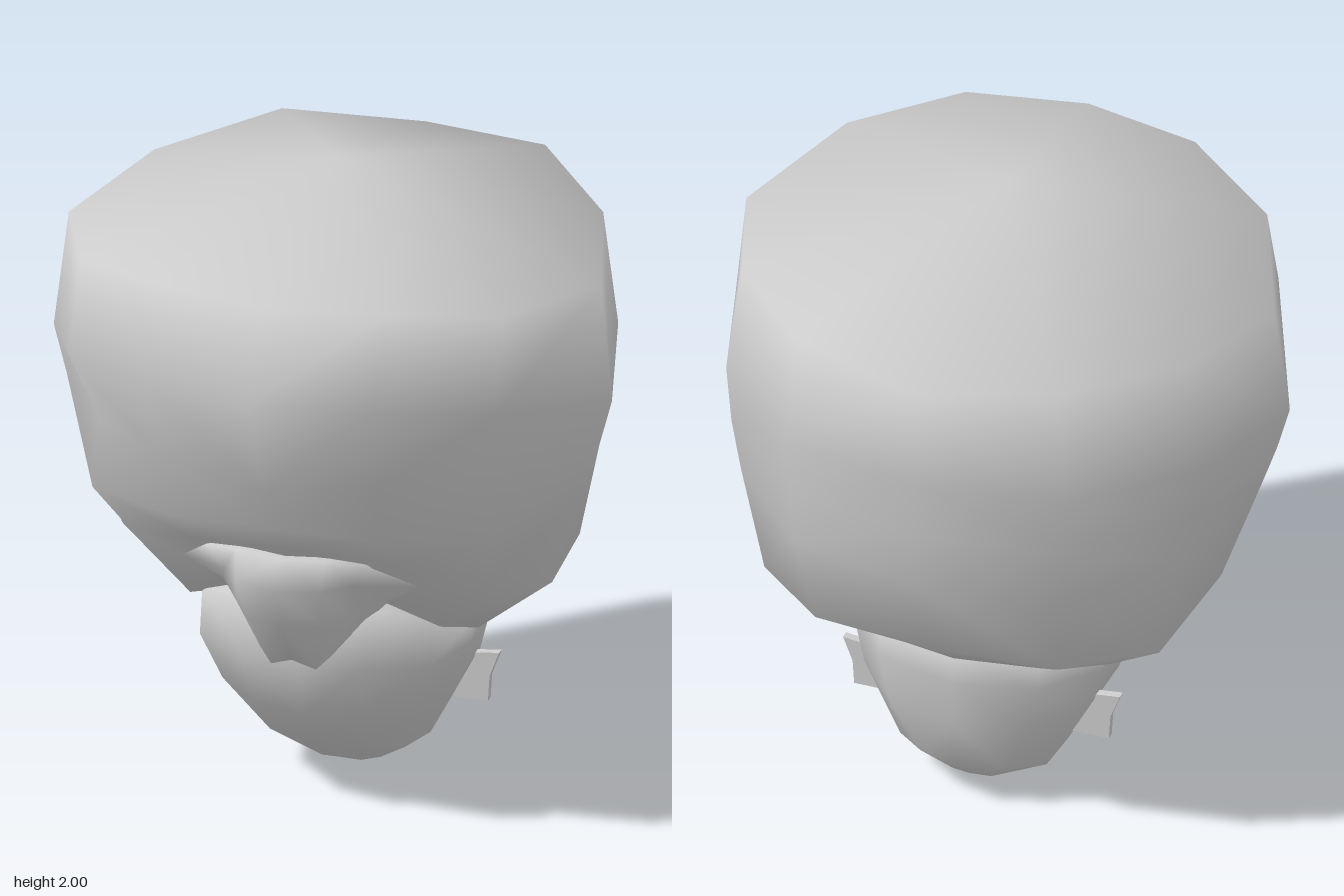
import * as THREE from 'three';

const grey = new THREE.MeshStandardMaterial({ color: 0xcccccc, side: THREE.DoubleSide });

// Half cross-section (front to back along +x) completed by its mirror image
function closeRing(half) {
  const mirrored = half.slice(1, -1).reverse().map(([x, y, z]) => [-x, y, z]);
  return [...half, ...mirrored];
}

// Strip from the centre line outwards, completed to the other side
function spreadRow(half) {
  return [...half.slice(1).reverse().map(([x, y, z]) => [-x, y, z]), ...half];
}

// Smooth skin over rows listed from top to bottom, with optional end points
function skin(name, rows, closed, top, bottom) {
  const n = rows[0].length;
  const points = rows.flat();
  const index = [];
  const across = closed ? n : n - 1;
  for (let i = 0; i < rows.length - 1; i++) {
    for (let j = 0; j < across; j++) {
      const k = (j + 1) % n;
      const a = i * n + j, b = i * n + k, c = a + n, d = b + n;
      // Diagonals mirror across the centre line
      if (j < across / 2) index.push(a, c, b, b, c, d);
      else index.push(a, c, d, a, d, b);
    }
  }
  if (top) {
    const t = points.push(top) - 1;
    for (let j = 0; j < n; j++) index.push(t, j, (j + 1) % n);
  }
  if (bottom) {
    const t = points.push(bottom) - 1;
    const s = (rows.length - 1) * n;
    for (let j = 0; j < n; j++) index.push(t, s + (j + 1) % n, s + j);
  }
  const geometry = new THREE.BufferGeometry();
  geometry.setAttribute('position', new THREE.Float32BufferAttribute(points.flat(), 3));
  geometry.setIndex(index);
  geometry.computeVertexNormals();
  const mesh = new THREE.Mesh(geometry, grey);
  mesh.name = name;
  return mesh;
}

// Broad twelve-sided cranium with shallow eye hollows
function cranium() {
  const halves = [
    [[0, 1.8, 0.69], [0.36, 1.8, 0.62], [0.66, 1.75, 0.42], [0.83, 1.71, 0.02], [0.7, 1.76, -0.38], [0.41, 1.8, -0.7], [0, 1.77, -0.81]],
    [[0, 1.54, 0.81], [0.36, 1.53, 0.73], [0.67, 1.47, 0.49], [0.87, 1.35, 0.04], [0.74, 1.4, -0.4], [0.44, 1.42, -0.71], [0, 1.45, -0.81]],
    [[0, 1.21, 0.69], [0.34, 1.25, 0.63], [0.59, 1.25, 0.44], [0.83, 1.2, 0.04], [0.72, 1.22, -0.41], [0.43, 1.23, -0.7], [0, 1.25, -0.8]],
    [[0, 1.07, 0.64], [0.32, 1.05, 0.6], [0.62, 1.02, 0.42], [0.78, 1.05, 0.04], [0.69, 1.05, -0.41], [0.42, 1.05, -0.69], [0, 1.05, -0.78]],
    [[0, 0.96, 0.53], [0.3, 0.92, 0.46], [0.56, 0.82, 0.25], [0.67, 0.72, 0.0], [0.62, 0.7, -0.4], [0.38, 0.73, -0.62], [0, 0.76, -0.69]],
    [[0, 0.8, 0.36], [0.22, 0.73, 0.3], [0.39, 0.62, 0.2], [0.44, 0.54, 0], [0.41, 0.5, -0.25], [0.25, 0.57, -0.43], [0, 0.57, -0.47]],
  ];
  return skin('cranium', halves.map(closeRing), true, [0, 2, 0], [0, 0.62, -0.05]);
}

// Rounded jaw tapering to the chin
function jaw() {
  const halves = [
    [[0, 0.7, 0.33], [0.2, 0.7, 0.32], [0.35, 0.64, 0.2], [0.42, 0.56, 0], [0.39, 0.55, -0.25], [0.25, 0.6, -0.42], [0, 0.6, -0.47]],
    [[0, 0.52, 0.36], [0.19, 0.51, 0.34], [0.36, 0.49, 0.2], [0.41, 0.48, -0.02], [0.39, 0.48, -0.26], [0.25, 0.49, -0.43], [0, 0.49, -0.485]],
    [[0, 0.33, 0.31], [0.17, 0.33, 0.27], [0.31, 0.33, 0.14], [0.37, 0.35, -0.06], [0.35, 0.34, -0.28], [0.22, 0.33, -0.42], [0, 0.33, -0.475]],
    [[0, 0.17, 0.13], [0.12, 0.16, 0.1], [0.21, 0.12, 0], [0.24, 0.11, -0.15], [0.23, 0.12, -0.3], [0.13, 0.15, -0.4], [0, 0.16, -0.44]],
    [[0, 0.05, -0.02], [0.06, 0.04, -0.04], [0.1, 0.03, -0.1], [0.11, 0.02, -0.18], [0.1, 0.03, -0.26], [0.06, 0.04, -0.31], [0, 0.05, -0.33]],
  ];
  return skin('jaw', halves.map(closeRing), true, [0, 0.7, 0], [0, 0, -0.18]);
}

// Flared nose piece with side wings and a forked lower edge
function nose() {
  const halves = [
    [[0, 0.9, 0.38], [0.14, 0.9, 0.38], [0.23, 0.88, 0.36], [0.27, 0.83, 0.28]],
    [[0, 0.915, 0.52], [0.14, 0.93, 0.52], [0.25, 0.91, 0.47], [0.28, 0.84, 0.38]],
    [[0, 0.84, 0.59], [0.13, 0.84, 0.55], [0.2, 0.83, 0.45], [0.37, 0.8, 0.33]],
    [[0, 0.7, 0.51], [0.12, 0.7, 0.48], [0.18, 0.71, 0.4], [0.26, 0.72, 0.28]],
    [[0, 0.55, 0.42], [0.07, 0.52, 0.4], [0.11, 0.56, 0.38], [0.16, 0.62, 0.33]],
    [[0, 0.55, 0.3], [0.07, 0.52, 0.3], [0.11, 0.56, 0.28], [0.16, 0.62, 0.26]],
  ];
  return skin('nose', halves.map(spreadRow), false);
}

// Small thin tab on the side of the jaw
function tab(side) {
  const shape = new THREE.Shape([[0.27, 0.21], [0.4, 0.21], [0.405, 0.29], [0.435, 0.37], [0.35, 0.36]]
    .map(([x, y]) => new THREE.Vector2(side * x, y)));
  const geometry = new THREE.ExtrudeGeometry(shape, { depth: 0.025, bevelEnabled: false });
  geometry.translate(0, 0, -0.23);
  const mesh = new THREE.Mesh(geometry, grey);
  mesh.name = side > 0 ? 'leftJawTab' : 'rightJawTab';
  return mesh;
}

export function createModel() {
  const head = new THREE.Group();
  head.name = 'head';
  head.add(cranium(), jaw(), nose(), tab(1), tab(-1));
  return head;
}
